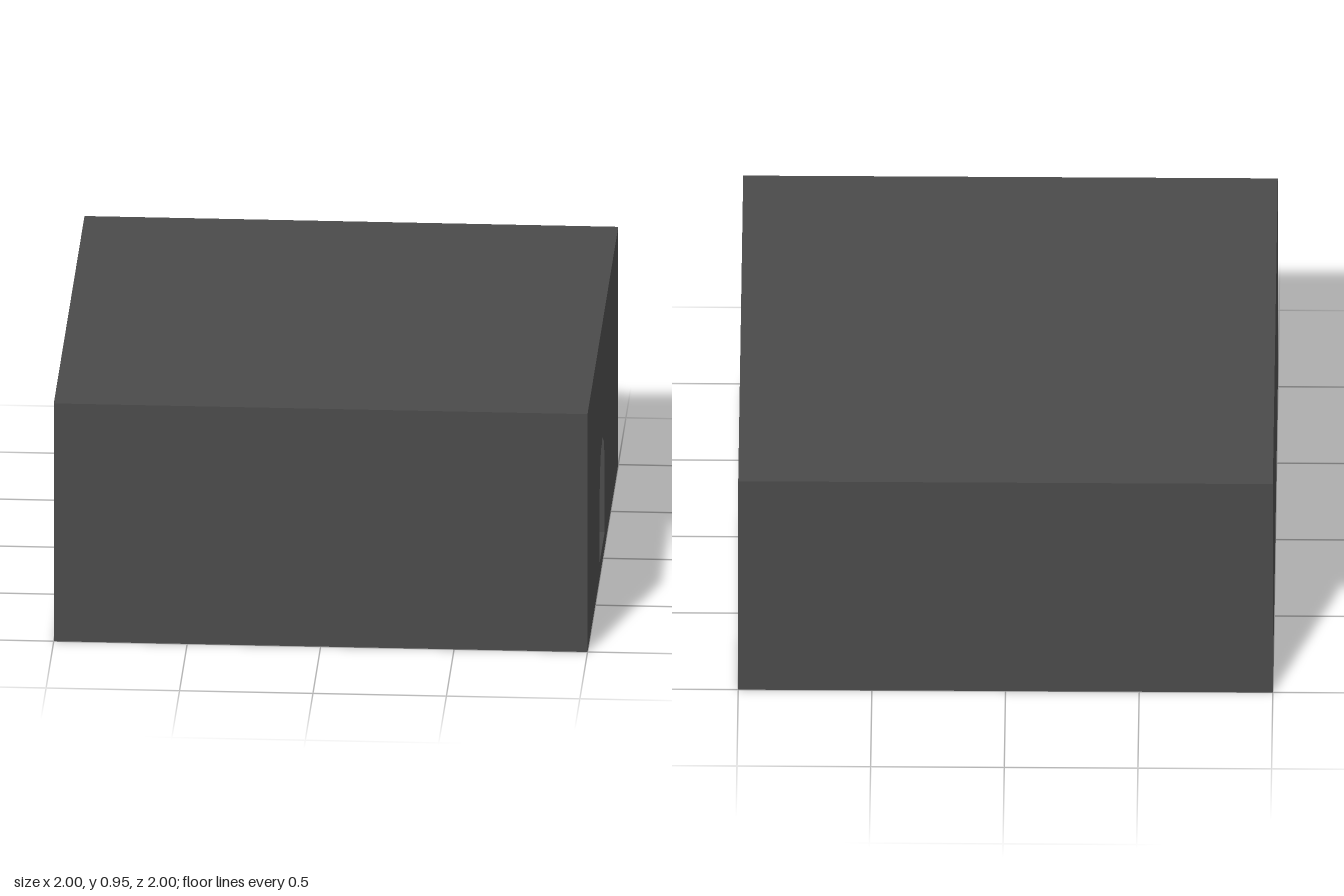
import * as THREE from 'three';

const stone = new THREE.MeshStandardMaterial({ color: 0x4a4a4a });
stone.name = 'darkStone';

const HEIGHT = 0.95, FLOOR = 0.062, WALL = 0.1;

// Closed outline of a stepped arch; steps are [halfWidth, topY] from the bottom up.
function steppedArch(centre, steps) {
  const side = [];
  let y = FLOOR;
  for (const [w, top] of steps) {
    side.push([w, y], [w, top]);
    y = top;
  }
  const right = side.map(([w, h]) => new THREE.Vector2(centre + w, h));
  const left = side.map(([w, h]) => new THREE.Vector2(centre - w, h)).reverse();
  return new THREE.Path([...right, ...left]);
}

// Full-size slab across the block from x0 to x1, with an optional hole along x.
function slice(name, x0, x1, hole) {
  const shape = new THREE.Shape([
    new THREE.Vector2(-1, 0), new THREE.Vector2(1, 0),
    new THREE.Vector2(1, HEIGHT), new THREE.Vector2(-1, HEIGHT),
  ]);
  if (hole) shape.holes.push(hole);
  const geometry = new THREE.ExtrudeGeometry(shape, { depth: x1 - x0, bevelEnabled: false });
  geometry.rotateY(Math.PI / 2); // shape x becomes -z, depth becomes +x
  geometry.translate(x0, 0, 0);
  const mesh = new THREE.Mesh(geometry, stone);
  mesh.name = name;
  return mesh;
}

export function createModel() {
  const group = new THREE.Group();
  group.name = 'vaultedBlock';

  // Doorway through the right wall, slightly off centre
  const doorway = steppedArch(-0.048, [
    [0.161, 0.353], [0.145, 0.4], [0.13, 0.43], [0.113, 0.45],
    [0.097, 0.465], [0.065, 0.481], [0.018, 0.497],
  ]);

  // Long room with a finely stepped vault
  const vaultSteps = [];
  const count = 26, spring = 0.3, crown = 0.87;
  for (let i = 0; i < count; i++) {
    const t = i / count;
    const top = spring + (crown - spring) * (i + 1) / count;
    vaultSteps.push([0.9 * Math.sqrt(1 - t * t), top]);
  }

  group.add(
    slice('doorWall', 1 - WALL, 1, doorway),
    slice('vaultedRoom', -1 + WALL, 1 - WALL, steppedArch(0, vaultSteps)),
    slice('backWall', -1, -1 + WALL),
  );

  // Small stepped plinth standing in the room
  const blocks = [
    ['plinthBack', 0.06, 0.066, 0.06, -0.03],
    ['plinthFront', 0.06, 0.05, 0.042, 0.03],
  ];
  for (const [name, depth, height, width, x] of blocks) {
    const mesh = new THREE.Mesh(new THREE.BoxGeometry(depth, height, width), stone);
    mesh.name = name;
    mesh.position.set(x, FLOOR + height / 2, 0.003);
    group.add(mesh);
  }
  return group;
}
